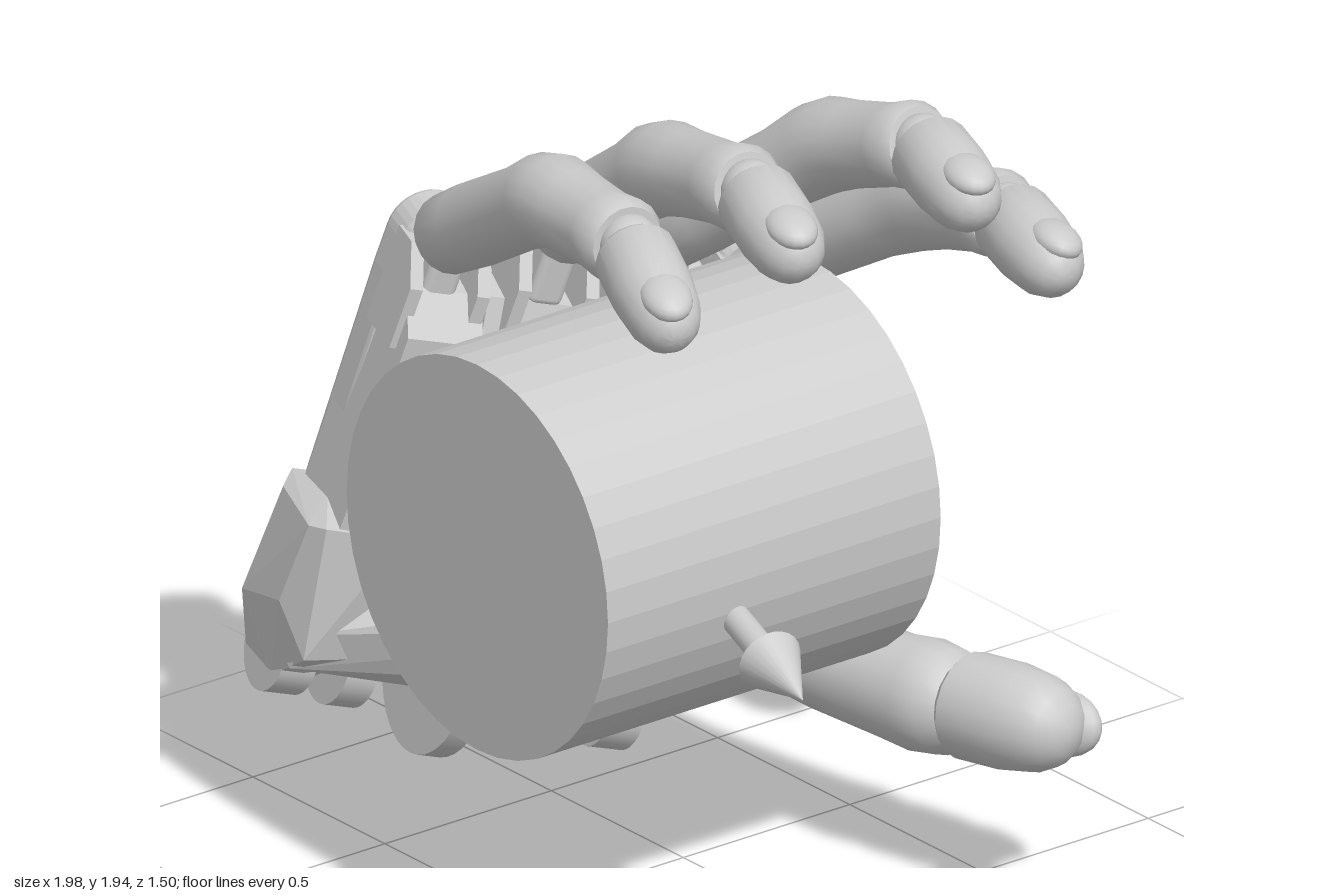
import * as THREE from 'three';
import { toCreasedNormals } from 'three/addons/utils/BufferGeometryUtils.js';
import { RoundedBoxGeometry } from 'three/addons/geometries/RoundedBoxGeometry.js';
import { ConvexGeometry } from 'three/addons/geometries/ConvexGeometry.js';

const V = (x, y, z) => new THREE.Vector3(x, y, z);
const material = new THREE.MeshStandardMaterial({ color: 0xcccccc });

function add(parent, name, geometry, x = 0, y = 0, z = 0) {
  const mesh = new THREE.Mesh(geometry, material);
  mesh.name = name;
  mesh.position.set(x, y, z);
  parent.add(mesh);
  return mesh;
}

// Closed round tube through stations of { p, r }
function loft(stations, sides = 18) {
  const pos = [], idx = [], n = stations.length;
  stations.forEach((s, i) => {
    const t = stations[Math.min(i + 1, n - 1)].p.clone().sub(stations[Math.max(i - 1, 0)].p).normalize();
    const side = t.clone().cross(V(0, 1, 0)).normalize();
    const up = side.clone().cross(t);
    for (let k = 0; k < sides; k++) {
      const a = k / sides * Math.PI * 2;
      const q = s.p.clone().addScaledVector(side, Math.cos(a) * s.r).addScaledVector(up, Math.sin(a) * s.r);
      pos.push(q.x, q.y, q.z);
      if (i < n - 1) {
        const b = i * sides + k, c = i * sides + (k + 1) % sides;
        idx.push(b, b + sides, c, c, b + sides, c + sides);
      }
    }
  });
  for (const i of [0, n - 1]) {
    const center = pos.length / 3;
    pos.push(...stations[i].p.toArray());
    for (let k = 0; k < sides; k++) {
      const b = i * sides + k, c = i * sides + (k + 1) % sides;
      if (i === 0) idx.push(center, b, c); else idx.push(center, c, b);
    }
  }
  const g = new THREE.BufferGeometry();
  g.setAttribute('position', new THREE.Float32BufferAttribute(pos, 3));
  g.setIndex(idx);
  return toCreasedNormals(g, 0.7);
}

// Stations between two points from [fraction, radius] pairs
const along = (a, b, pairs) => pairs.map(([t, r]) => ({ p: a.clone().lerp(b, t), r }));

// Fingertip with a nail lying on the side given by normal
function addTip(group, a, b, r, normal) {
  add(group, 'fingertip', loft(along(a, b, [[0, r * 0.85], [0.06, r], [0.45, r], [0.72, r * 0.9],
    [0.87, r * 0.72], [0.96, r * 0.46], [1, r * 0.16]])));
  const dir = b.clone().sub(a).normalize();
  const side = dir.clone().cross(normal).normalize();
  const up = side.clone().cross(dir);
  const nail = add(group, 'nail', new THREE.SphereGeometry(1, 20, 12));
  nail.scale.set(r * 0.85, r * 0.4, r * 0.62);
  nail.quaternion.setFromRotationMatrix(new THREE.Matrix4().makeBasis(dir, up, side));
  nail.position.copy(a).lerp(b, 0.72).addScaledVector(up, r * 0.59);
}

function makeFinger(name, base, pip, dip, tip, normal) {
  const group = new THREE.Group();
  group.name = name;
  add(group, 'fingerLinks', loft([
    ...along(base, pip, [[0.02, 0.08], [0.08, 0.098], [0.3, 0.104], [0.75, 0.102], [0.94, 0.113]]),
    ...along(pip, dip, [[0.08, 0.114], [0.3, 0.105], [0.7, 0.1], [0.9, 0.107], [0.97, 0.092]])]));
  add(group, 'tipJoint', new THREE.SphereGeometry(0.076, 16, 12), dip.x, dip.y, dip.z);
  addTip(group, dip.clone().lerp(tip, 0.07), tip, 0.1, normal);
  return group;
}

function makePalm() {
  // Local axes: x across the hand, y toward the knuckles, z out of the palm
  const across = V(0.25, -0.28, -0.93).normalize();
  const out = across.clone().cross(V(0.21, 0.95, -0.24)).normalize();
  const palm = new THREE.Group();
  palm.name = 'palm';
  palm.quaternion.setFromRotationMatrix(
    new THREE.Matrix4().makeBasis(across, out.clone().cross(across), out));
  palm.position.set(-0.77, 0.22, 0.13);

  // Back plate with knuckle lobes above and wrist tabs below
  const knuckles = [[-0.4, 1.13], [-0.12, 1.16], [0.15, 1.16], [0.43, 1.16]];
  const plate = new THREE.Shape();
  plate.moveTo(-0.42, 0.1);
  plate.lineTo(-0.47, 0.42);
  for (const [x, y] of knuckles) {
    plate.lineTo(x - 0.09, 1.03);
    plate.absarc(x, y, 0.09, Math.PI, 0, true);
    plate.lineTo(x + 0.09, 1.03);
  }
  plate.lineTo(0.52, 0);
  plate.absarc(0.44, -0.01, 0.08, 0, Math.PI, true);
  for (const [x, y] of [[0.35, 0.1], [0.26, 0.1], [0.25, 0], [0.13, 0], [0.12, 0.1],
    [-0.2, 0.1], [-0.21, 0], [-0.3, 0], [-0.31, 0.1]]) plate.lineTo(x, y);
  add(palm, 'backPlate', new THREE.ExtrudeGeometry(plate, {
    depth: 0.08, bevelThickness: 0.015, bevelSize: 0.012, bevelSegments: 2, curveSegments: 8
  }), 0, 0, -0.06);

  // Palm body, and the deeper bar that carries the little finger
  for (const [name, x0, x1, deep] of [['palmBody', -0.27, 0.5, 0.13], ['outerBar', -0.49, -0.29, 0.19]]) {
    const points = [];
    for (const x of [x0, x1])
      points.push(V(x, 0.1, -0.05), V(x, 1.07, -0.05), V(x, 1.05, 0.1), V(x, 0.96, deep), V(x, 0.4, deep), V(x, 0.15, 0.1));
    add(palm, name, new ConvexGeometry(points));
  }

  // Tapered prongs and pivot blocks that carry the fingers
  for (const [x, y] of knuckles) {
    for (const s of [-1, 1]) {
      const prong = [];
      for (const w of [-0.017, 0.017])
        prong.push(V(w, -0.12, -0.06), V(w, -0.12, 0.09), V(w, 0.04, 0.09), V(w, 0.13, 0.02), V(w, 0.13, -0.06));
      add(palm, 'knuckleProng', new ConvexGeometry(prong), x + s * 0.09, y - 0.1, 0.06);
    }
    add(palm, 'knucklePivot', new RoundedBoxGeometry(0.09, 0.2, 0.11, 2, 0.02), x, y - 0.02, 0.05);
  }

  // Wedge under the thumb and across the wrist
  add(palm, 'thumbMount', new ConvexGeometry([
    V(0.5, -0.05, 0.02), V(0.5, 0.12, 0.19), V(0.49, 0.32, 0.27), V(0.4, 0.42, 0.25), V(0.47, 0.68, 0.1),
    V(0.2, 0.66, 0.1), V(0.1, 0.3, 0.2), V(0.0, 0.05, 0.15), V(-0.48, 0.05, 0.17),
    V(-0.48, 0.16, 0.2), V(-0.48, 0.1, -0.04), V(0.5, 0.1, -0.04)]));

  // Chunky heel on the outer edge of the hand
  add(palm, 'outerHeel', new ConvexGeometry([
    V(-0.48, 0.45, -0.08), V(-0.5, 0.44, -0.1), V(-0.53, 0.41, -0.06), V(-0.55, 0.42, 0.15), V(-0.53, 0.44, 0.2),
    V(-0.47, 0.48, 0.03), V(-0.48, 0.1, 0.22), V(-0.54, 0.2, 0.12), V(-0.53, 0.12, -0.08), V(-0.5, 0.09, -0.12),
    V(-0.47, -0.03, -0.07), V(-0.38, -0.02, -0.07), V(-0.47, -0.02, 0.08), V(-0.38, -0.02, 0.08),
    V(-0.32, 0.43, -0.06), V(-0.32, 0.1, -0.07), V(-0.32, 0.43, 0.19), V(-0.32, 0.1, 0.18)]));

  // Wrist hinge discs
  for (const [x, y, z, r, w] of [[-0.01, 0.04, 0.01, 0.23, 0.06], [-0.26, 0.02, 0.01, 0.12, 0.08], [-0.43, 0.03, 0.02, 0.11, 0.09],
    [0.27, 0.02, 0.06, 0.09, 0.05], [0.44, 0, 0.05, 0.11, 0.09]]) {
    const disc = add(palm, 'wristDisc', new THREE.CylinderGeometry(r, r, w, 40), x, y, z);
    disc.rotation.z = Math.PI / 2;
  }
  return palm;
}

export function createModel() {
  const model = new THREE.Group();
  model.name = 'handHoldingCylinder';
  model.add(makePalm());

  // Fingers: base, middle joint, end joint, tip, nail direction
  model.add(makeFinger('littleFinger', V(-0.6, 1.43, 0.25), V(-0.12, 1.71, 0.3), V(0.25, 1.73, 0.36), V(0.58, 1.63, 0.48), V(0.3, 1, 0.15)));
  model.add(makeFinger('ringFinger', V(-0.52, 1.4, -0.03), V(-0.1, 1.71, -0.02), V(0.32, 1.81, 0.05), V(0.64, 1.75, 0.15), V(0.3, 1, 0.1)));
  model.add(makeFinger('middleFinger', V(-0.45, 1.34, -0.27), V(0.02, 1.7, -0.42), V(0.38, 1.82, -0.42), V(0.71, 1.78, -0.33), V(0.2, 1, 0)));
  model.add(makeFinger('indexFinger', V(-0.39, 1.24, -0.55), V(0.1, 1.52, -0.64), V(0.48, 1.63, -0.59), V(0.82, 1.61, -0.49), V(0.1, 1, -0.3)));

  // Thumb
  const thumb = new THREE.Group();
  thumb.name = 'thumb';
  add(thumb, 'thumbLink', loft([[-0.48, 0.48, -0.27, 0.13], [-0.4, 0.48, -0.28, 0.16], [-0.28, 0.47, -0.3, 0.152],
    [-0.12, 0.45, -0.33, 0.13], [0.1, 0.42, -0.365, 0.127], [0.3, 0.41, -0.4, 0.128], [0.4, 0.415, -0.415, 0.138],
    [0.48, 0.42, -0.425, 0.128], [0.52, 0.425, -0.43, 0.1]].map(([x, y, z, r]) => ({ p: V(x, y, z), r }))));
  addTip(thumb, V(0.52, 0.43, -0.43), V(0.85, 0.45, -0.5), 0.13, V(0.1, -0.25, -1));
  model.add(thumb);

  // Gripped cylinder
  add(model, 'grippedCylinder', toCreasedNormals(new THREE.CylinderGeometry(0.495, 0.495, 1, 40), 0.1), 0.165, 1.005, 0.25)
    .rotation.x = Math.PI / 2;

  // Arrow pointing away from the cylinder
  const arrow = new THREE.Group();
  arrow.name = 'arrow';
  add(arrow, 'arrowShaft', new THREE.CylinderGeometry(0.036, 0.036, 0.7, 20), 0, 0.35, 0);
  add(arrow, 'arrowHead', new THREE.ConeGeometry(0.08, 0.18, 24), 0, 0.775, 0);
  arrow.position.set(0.165, 1.0, 0.25);
  arrow.quaternion.setFromUnitVectors(V(0, 1, 0), V(0.83, -0.165, 0.18).normalize());
  model.add(arrow);
  return model;
}
